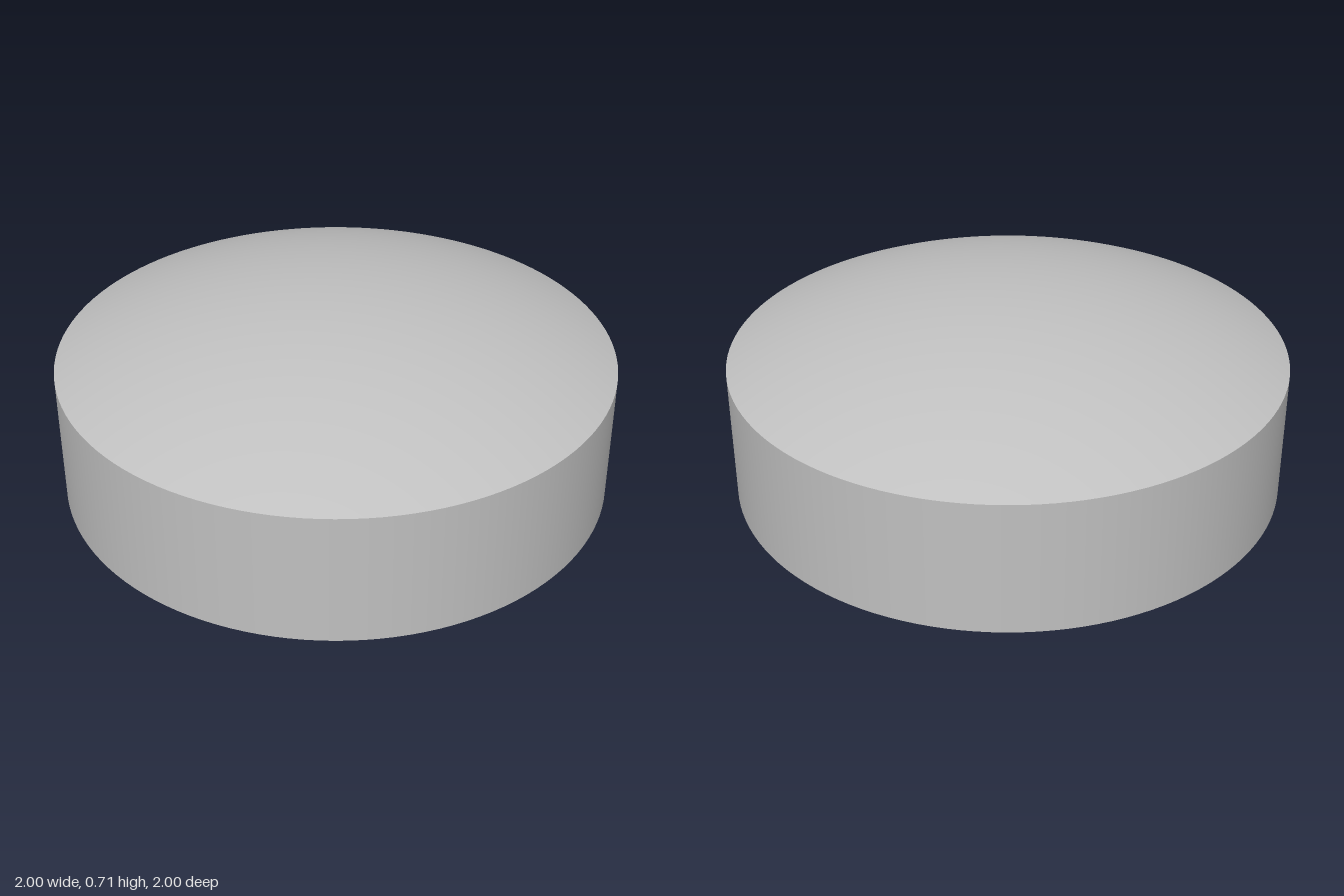
import * as THREE from 'three';

const RADIUS = 1, RIM = 0.485, TOP = 0.715;
const HEX = 0.473, DEPTH = 0.37, SEGMENTS = 128;

export function createModel() {
  const group = new THREE.Group();
  group.name = 'domedCap';
  const grey = new THREE.MeshStandardMaterial({ color: 0xc0c0c0 });
  grey.name = 'grey';

  const add = (name, geometry) => {
    const mesh = new THREE.Mesh(geometry, grey);
    mesh.name = name;
    group.add(mesh);
    return mesh;
  };

  // Straight cylindrical side
  add('sideWall', new THREE.CylinderGeometry(RADIUS, RADIUS, RIM, SEGMENTS, 1, true))
    .position.y = RIM / 2;

  // Shallow spherical dome, from the rim up to the apex
  const sag = TOP - RIM;
  const sphere = (RADIUS * RADIUS + sag * sag) / (2 * sag);
  const halfAngle = Math.asin(RADIUS / sphere);
  add('dome', new THREE.SphereGeometry(sphere, SEGMENTS, 24, 0, Math.PI * 2, 0, halfAngle))
    .position.y = TOP - sphere;

  // Flat underside with a hexagonal opening, two corners on the z axis
  const disc = new THREE.Shape().absarc(0, 0, RADIUS, 0, Math.PI * 2);
  const corners = Array.from({ length: 6 }, (_, i) => {
    const a = Math.PI / 6 + i * Math.PI / 3;
    return new THREE.Vector2(HEX * Math.cos(a), HEX * Math.sin(a));
  });
  disc.holes.push(new THREE.Path(corners));
  add('underside', new THREE.ShapeGeometry(disc, SEGMENTS)).rotation.x = Math.PI / 2;

  // Socket walls, mirrored so that they face inwards
  const walls = new THREE.CylinderGeometry(HEX, HEX, DEPTH, 6, 1, true).toNonIndexed();
  const p = walls.attributes.position;
  for (let i = 0; i < p.count; i += 3) {
    const b = new THREE.Vector3().fromBufferAttribute(p, i + 1);
    const c = new THREE.Vector3().fromBufferAttribute(p, i + 2);
    p.setXYZ(i + 1, c.x, c.y, c.z);
    p.setXYZ(i + 2, b.x, b.y, b.z);
  }
  walls.computeVertexNormals();
  add('socketWalls', walls).position.y = DEPTH / 2;

  // Flat end of the socket
  const end = add('socketEnd', new THREE.CircleGeometry(HEX, 6, Math.PI / 6));
  end.rotation.x = Math.PI / 2;
  end.position.y = DEPTH;

  return group;
}
